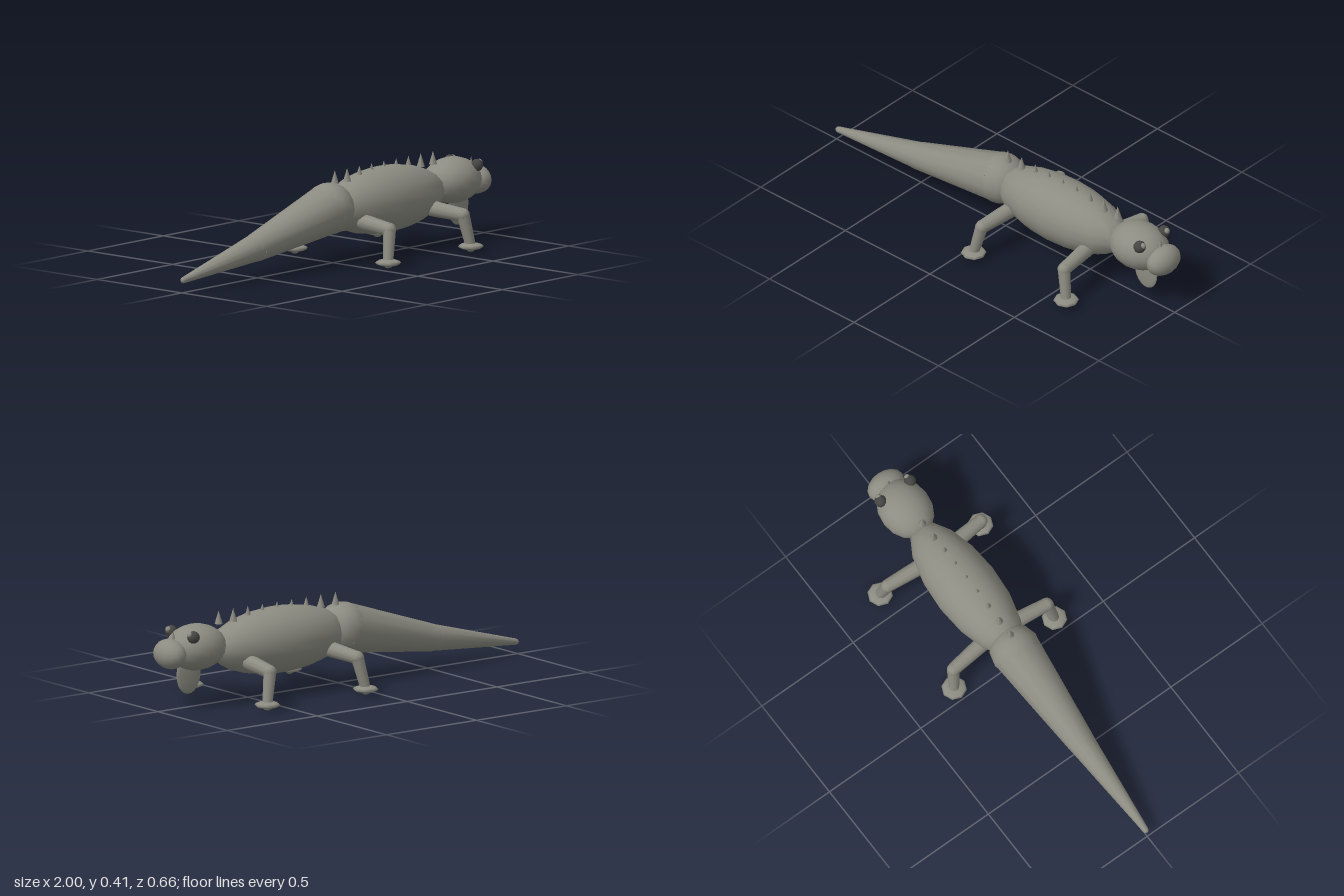
import * as THREE from 'three';

export function createModel() {
  const root = new THREE.Group();
  root.name = 'lizard';
  const skin = new THREE.MeshStandardMaterial({ color: 0x8c8c82 });
  skin.name = 'skin';
  const dark = new THREE.MeshStandardMaterial({ color: 0x454544 });
  dark.name = 'eyeDark';

  const add = (name, geo, mat, pos) => {
    const mesh = new THREE.Mesh(geo, mat);
    mesh.name = name;
    mesh.position.set(...pos);
    root.add(mesh);
    return mesh;
  };
  // Ellipsoid with the given centre and radii
  const blob = (name, pos, radii, mat = skin, w = 16, h = 12) => {
    const mesh = add(name, new THREE.SphereGeometry(1, w, h), mat, pos);
    mesh.scale.set(...radii);
    return mesh;
  };
  const ball = (name, pos, r, mat = skin, w = 10, h = 8) => blob(name, pos, [r, r, r], mat, w, h);
  // Tapered cylinder running from a to b
  const limb = (name, a, b, ra, rb, sides = 10) => {
    const from = new THREE.Vector3(...a);
    const dir = new THREE.Vector3(...b).sub(from);
    const geo = new THREE.CylinderGeometry(rb, ra, dir.length(), sides);
    const mid = from.clone().addScaledVector(dir, 0.5);
    const mesh = add(name, geo, skin, mid.toArray());
    mesh.quaternion.setFromUnitVectors(new THREE.Vector3(0, 1, 0), dir.normalize());
    return mesh;
  };
  const spike = (name, x, y, r, h) => add(name, new THREE.ConeGeometry(r, h, 8), skin, [x, y + h / 2, 0]);

  // Trunk, head and throat fan
  blob('body', [0.335, 0.241, 0], [0.37, 0.148, 0.147]);
  blob('head', [0.79, 0.266, 0], [0.145, 0.103, 0.118]);
  blob('snout', [0.933, 0.252, 0], [0.063, 0.067, 0.09]);
  blob('throatFan', [0.83, 0.15, 0], [0.067, 0.091, 0.011]);

  // Two-part tail with rounded joints
  const hip = [-0.025, 0.247, 0], bend = [-0.51, 0.138, 0], tip = [-0.99, 0.056, 0];
  ball('tailBaseJoint', hip, 0.115, skin, 12, 10);
  limb('tailBase', hip, bend, 0.114, 0.063, 12);
  ball('tailMiddleJoint', bend, 0.063);
  limb('tailEnd', bend, tip, 0.062, 0.014, 12);
  ball('tailTip', tip, 0.013);

  // Crest along the back, and a nose horn
  for (let i = 0; i < 9; i++) spike('backSpike', 0.013 + i * 0.0812, 0.353, 0.018, 0.06);
  spike('noseHorn', 0.915, 0.305, 0.011, 0.05);

  // Eyes and legs, mirrored on both sides
  for (const s of [1, -1]) {
    ball('eye', [0.864, 0.331, s * 0.08], 0.028, dark);
    ball('pupil', [0.882, 0.343, s * 0.078], 0.014, skin, 8, 6);

    for (const [label, shoulderX, kneeX, footX] of [['front', 0.558, 0.575, 0.604], ['back', 0.105, 0.088, 0.057]]) {
      const shoulder = [shoulderX, 0.18, s * 0.09];
      const knee = [kneeX, 0.168, s * 0.256];
      const ankle = [footX, 0.026, s * 0.275];
      ball(label + 'Shoulder', shoulder, 0.036);
      limb(label + 'UpperLeg', shoulder, knee, 0.036, 0.03);
      ball(label + 'Knee', knee, 0.03);
      limb(label + 'LowerLeg', knee, ankle, 0.029, 0.023);
      ball(label + 'Ankle', ankle, 0.025, skin, 8, 6);
      blob(label + 'Foot', [footX, 0.027, s * 0.275], [0.057, 0.016, 0.057], skin, 8, 6);
    }
  }
  return root;
}
